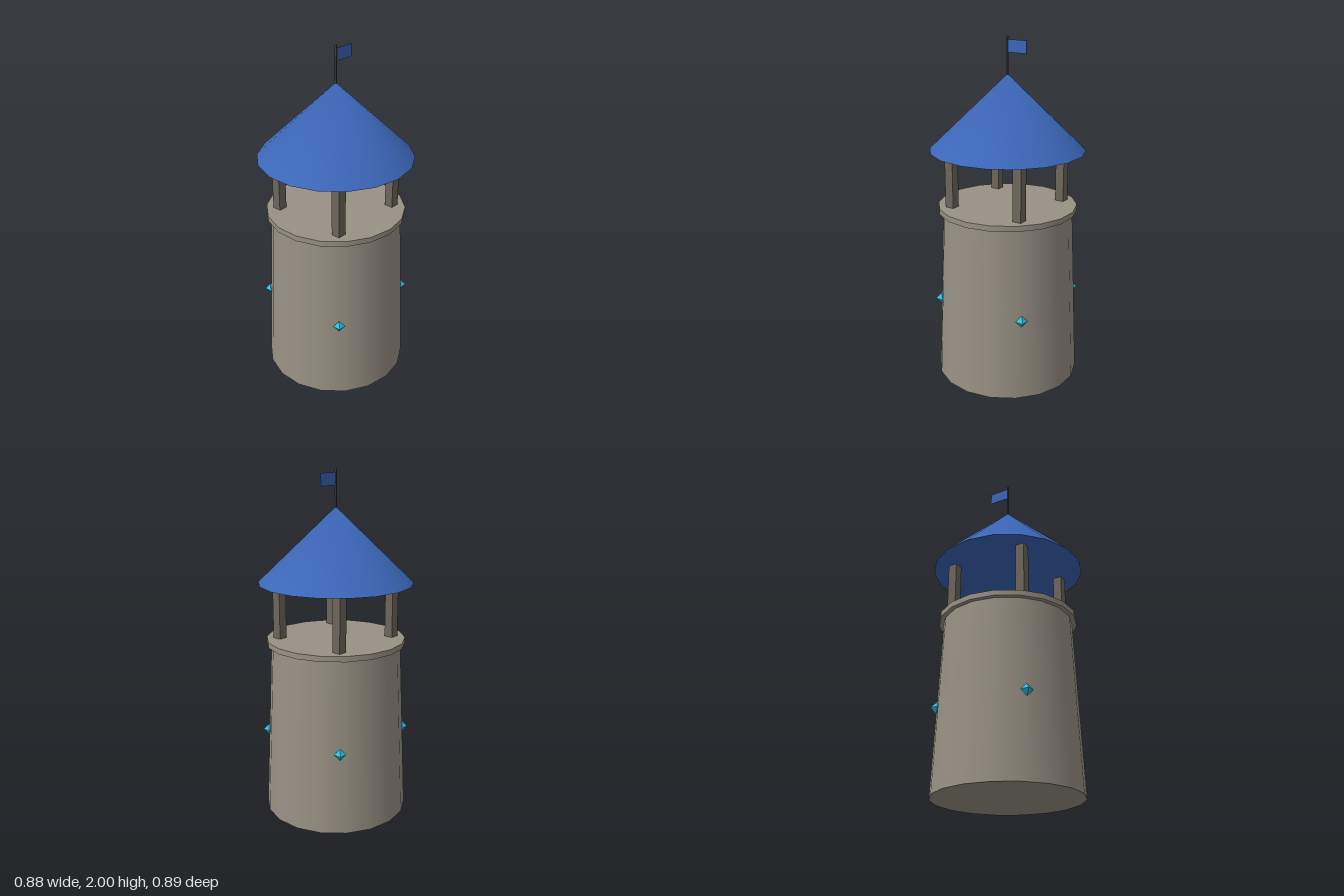
import * as THREE from 'three';

const SIDES = 18;

export function createModel() {
  const tower = new THREE.Group();
  tower.name = 'watchtower';

  const paint = (name, color) => {
    const m = new THREE.MeshStandardMaterial({ color });
    m.name = name;
    return m;
  };
  const stone = paint('stone', 0x989184);
  const post = paint('postStone', 0x6d665c);
  const blue = paint('roofBlue', 0x3c66b8);
  const cyan = paint('crystalCyan', 0x2abfe4);
  const iron = paint('poleIron', 0x4a4440);
  cyan.flatShading = true;

  const add = (name, geometry, material, x, y, z) => {
    const mesh = new THREE.Mesh(geometry, material);
    mesh.name = name;
    mesh.position.set(x, y, z);
    tower.add(mesh);
    return mesh;
  };

  // Tapered body and the overhanging platform slab
  add('body', new THREE.CylinderGeometry(0.376, 0.42, 1.013, SIDES), stone, 0, 0.5065, 0);
  add('platform', new THREE.CylinderGeometry(0.403, 0.403, 0.032, SIDES), stone, 0, 1.029, 0);

  // Four posts on the platform and four crystals set into the wall, on the diagonals
  const postGeometry = new THREE.BoxGeometry(0.053, 0.327, 0.053);
  const crystalGeometry = new THREE.OctahedronGeometry(0.034);
  for (const sx of [-1, 1]) {
    for (const sz of [-1, 1]) {
      add('post', postGeometry, post, sx * 0.229, 1.2065, sz * 0.229);
      add('crystal', crystalGeometry, cyan, sx * 0.283, 0.477, sz * 0.283).rotation.y = Math.PI / 4;
    }
  }

  // Conical roof, its shading rounded off towards the apex
  const roofHeight = 0.427;
  const roof = new THREE.ConeGeometry(0.445, roofHeight, SIDES);
  const { position, normal } = roof.attributes;
  for (let i = 0; i < position.count; i++) {
    if (position.getY(i) > roofHeight / 2 - 0.001) normal.setXYZ(i, 0, 1, 0);
  }
  add('roof', roof, blue, 0, 1.369 + roofHeight / 2, 0);

  // Flagpole and flag
  add('flagpole', new THREE.CylinderGeometry(0.006, 0.006, 0.22, 6), iron, 0, 1.89, 0);
  add('flag', new THREE.BoxGeometry(0.124, 0.07, 0.004), blue, 0.062, 1.947, 0);

  return tower;
}
